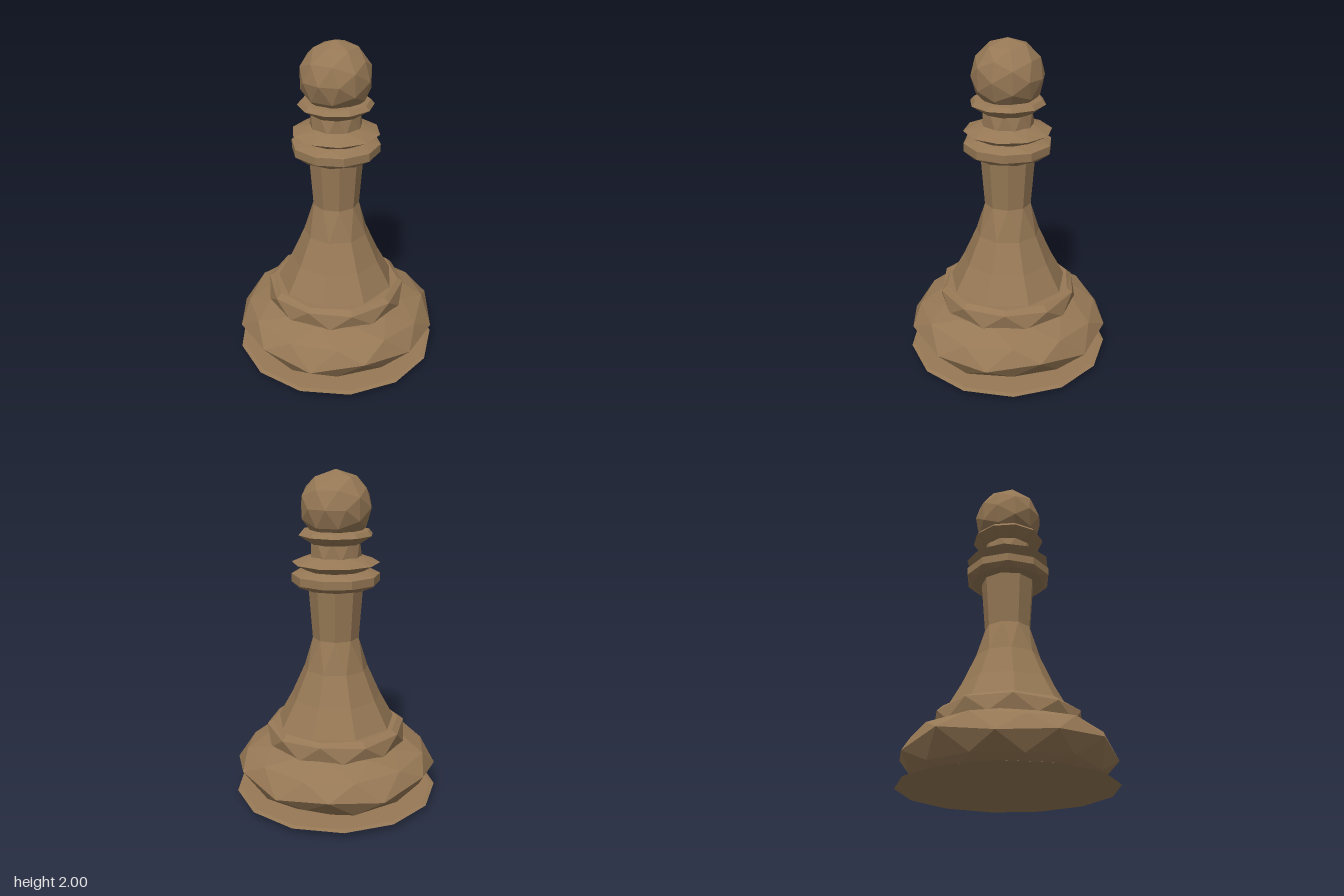
import * as THREE from 'three';

const wood = new THREE.MeshStandardMaterial({ color: 0x967855, flatShading: true, roughness: 0.9 });

// Closed faceted solid from rings [radius, y, twist in steps from the ring below, wobble], bottom to top
function facetedSolid(name, sides, phase, rings) {
  const pts = [], index = [];
  const all = [[0, rings[0][1]], ...rings, [0, rings[rings.length - 1][1]]];
  let turn = phase;
  all.forEach(([r, y, twist = 0, wobble = 0], i) => {
    turn += (twist * Math.PI * 2) / sides;
    for (let j = 0; j < sides; j++) {
      const a = turn + (j / sides) * Math.PI * 2;
      pts.push(r * Math.cos(a), y + wobble * Math.sin(j * 2.4 + i), -r * Math.sin(a));
    }
    if (i === 0) return;
    for (let j = 0; j < sides; j++) {
      const k = (j + 1) % sides, lo = (i - 1) * sides, hi = i * sides;
      if (all[i - 1][0] > 0) index.push(lo + j, lo + k, hi + j);
      if (r > 0) index.push(lo + k, hi + k, hi + j);
    }
  });
  const g = new THREE.BufferGeometry();
  g.setAttribute('position', new THREE.Float32BufferAttribute(pts, 3));
  g.setIndex(index);
  const flat = g.toNonIndexed();
  flat.computeVertexNormals();
  const mesh = new THREE.Mesh(flat, wood);
  mesh.name = name;
  return mesh;
}

export function createModel() {
  const pawn = new THREE.Group();
  pawn.name = 'pawn';

  pawn.add(
    // Thin disc at the foot
    facetedSolid('footDisc', 13, 1.73, [[0.4, 0], [0.625, 0.04], [0.6, 0.047]]),
    // Rounded, rough-cut base
    facetedSolid('baseBulge', 12, 0.1, [
      [0.43, 0.045], [0.54, 0.11, 0.5, 0.012], [0.62, 0.215, 0.5, 0.03],
      [0.555, 0.315, 0.5, 0.014], [0.42, 0.37, 0.5],
    ]),
    // Step between base and stem
    facetedSolid('baseCollar', 10, 0.16, [[0.425, 0.36], [0.425, 0.455, 0.5, 0.008], [0.39, 0.48]]),
    // Flared stem
    facetedSolid('stem', 9, 0.31, [
      [0.365, 0.475], [0.275, 0.64], [0.195, 0.82], [0.14, 1.01, 0.5], [0.165, 1.34],
    ]),
    // Thick lower ring
    facetedSolid('lowerRing', 10, 0.1, [[0.225, 1.325], [0.262, 1.352, 0.5], [0.262, 1.4], [0.19, 1.425, 0.5]]),
    // Sharp-edged middle ring
    facetedSolid('middleRing', 10, 0.0, [[0.17, 1.42], [0.26, 1.467, 0.5], [0.15, 1.507, 0.5]]),
    // Neck
    facetedSolid('neck', 9, 0.2, [[0.155, 1.49], [0.145, 1.6, 0.5]]),
    // Thin ring under the head
    facetedSolid('upperRing', 10, 0.3, [[0.15, 1.58], [0.222, 1.63, 0.5], [0.2, 1.655], [0.12, 1.665, 0.5]]),
  );

  // Faceted ball head
  const head = new THREE.Mesh(new THREE.IcosahedronGeometry(0.212, 1), wood);
  head.name = 'head';
  head.position.y = 1.788;
  head.rotation.y = 0.4;
  pawn.add(head);

  return pawn;
}
